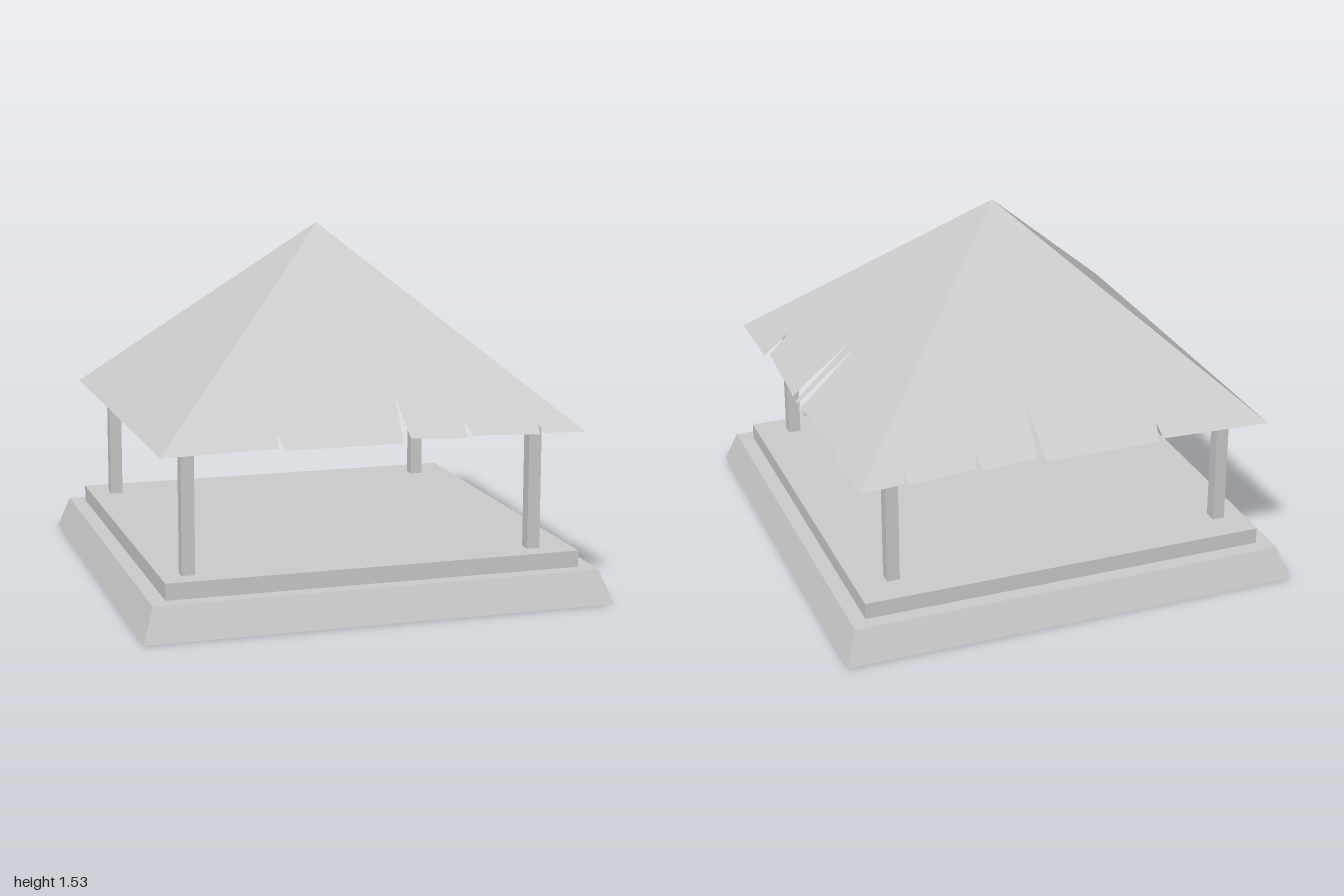
import * as THREE from 'three';

const EAVE_Y = 0.72, PEAK_Y = 1.53, EAVE_HALF = 0.9;

const stone = new THREE.MeshStandardMaterial({ color: 0xcccccc, side: THREE.DoubleSide });
stone.name = 'pale grey';

// One sloping roof face: a triangle whose eave follows the given points (across, height)
function roofFace(name, eave, turn) {
  const shape = new THREE.Shape();
  shape.moveTo(-EAVE_HALF, EAVE_Y);
  eave.forEach(([u, y]) => shape.lineTo(u, y));
  shape.lineTo(EAVE_HALF, EAVE_Y);
  shape.lineTo(0, PEAK_Y);
  const geo = new THREE.ShapeGeometry(shape);
  const pos = geo.attributes.position;
  for (let i = 0; i < pos.count; i++) {
    pos.setZ(i, (PEAK_Y - pos.getY(i)) * EAVE_HALF / (PEAK_Y - EAVE_Y));
  }
  geo.computeVertexNormals();
  geo.rotateY(turn);
  const mesh = new THREE.Mesh(geo, stone);
  mesh.name = name;
  return mesh;
}

export function createModel() {
  const model = new THREE.Group();
  model.name = 'pavilion';

  // Hollow square base: sloped skirt, ledge, platform wall and floor
  const profile = [[1, 0], [0.95, 0.14], [0.885, 0.14], [0.885, 0.21], [0, 0.21]]
    .map(([half, y]) => new THREE.Vector2(half * Math.SQRT2, y));
  const baseGeo = new THREE.LatheGeometry(profile, 4).rotateY(Math.PI / 4).toNonIndexed();
  baseGeo.computeVertexNormals();
  const base = new THREE.Mesh(baseGeo, stone);
  base.name = 'base';
  model.add(base);

  // Four square posts, reaching just under the floor and into the roof
  const posts = new THREE.Group();
  posts.name = 'posts';
  const postGeo = new THREE.BoxGeometry(0.055, 0.555, 0.055);
  for (const x of [-0.77, 0.718]) {
    for (const z of [-0.718, 0.768]) {
      const post = new THREE.Mesh(postGeo, stone);
      post.name = 'post';
      post.position.set(x, 0.4775, z);
      posts.add(post);
    }
  }
  model.add(posts);

  // Torn eaves: front and back mirror each other, the left side has paired tears
  const frontTears = [
    [-0.42, 0.728], [-0.41, 0.777], [-0.395, 0.72],
    [0.105, 0.72], [0.122, 0.89], [0.138, 0.735],
    [0.378, 0.724], [0.388, 0.785], [0.405, 0.732],
    [0.695, 0.722], [0.703, 0.76], [0.712, 0.726],
  ];
  const backTears = frontTears.map(([u, y]) => [-u, y]).reverse();
  const halfTears = [
    [0.015, 0.72], [0.036, 0.955], [0.065, 0.72], [0.085, 0.724],
    [0.5, 0.735], [0.513, 0.835], [0.527, 0.72],
  ];
  const sideTears = [...halfTears.map(([u, y]) => [-u, y]).reverse(), ...halfTears];

  const roof = new THREE.Group();
  roof.name = 'roof';
  roof.add(
    roofFace('roofFront', frontTears, 0),
    roofFace('roofLeft', sideTears, Math.PI / 2),
    roofFace('roofBack', backTears, Math.PI),
    roofFace('roofRight', [], -Math.PI / 2),
  );
  model.add(roof);

  return model;
}
